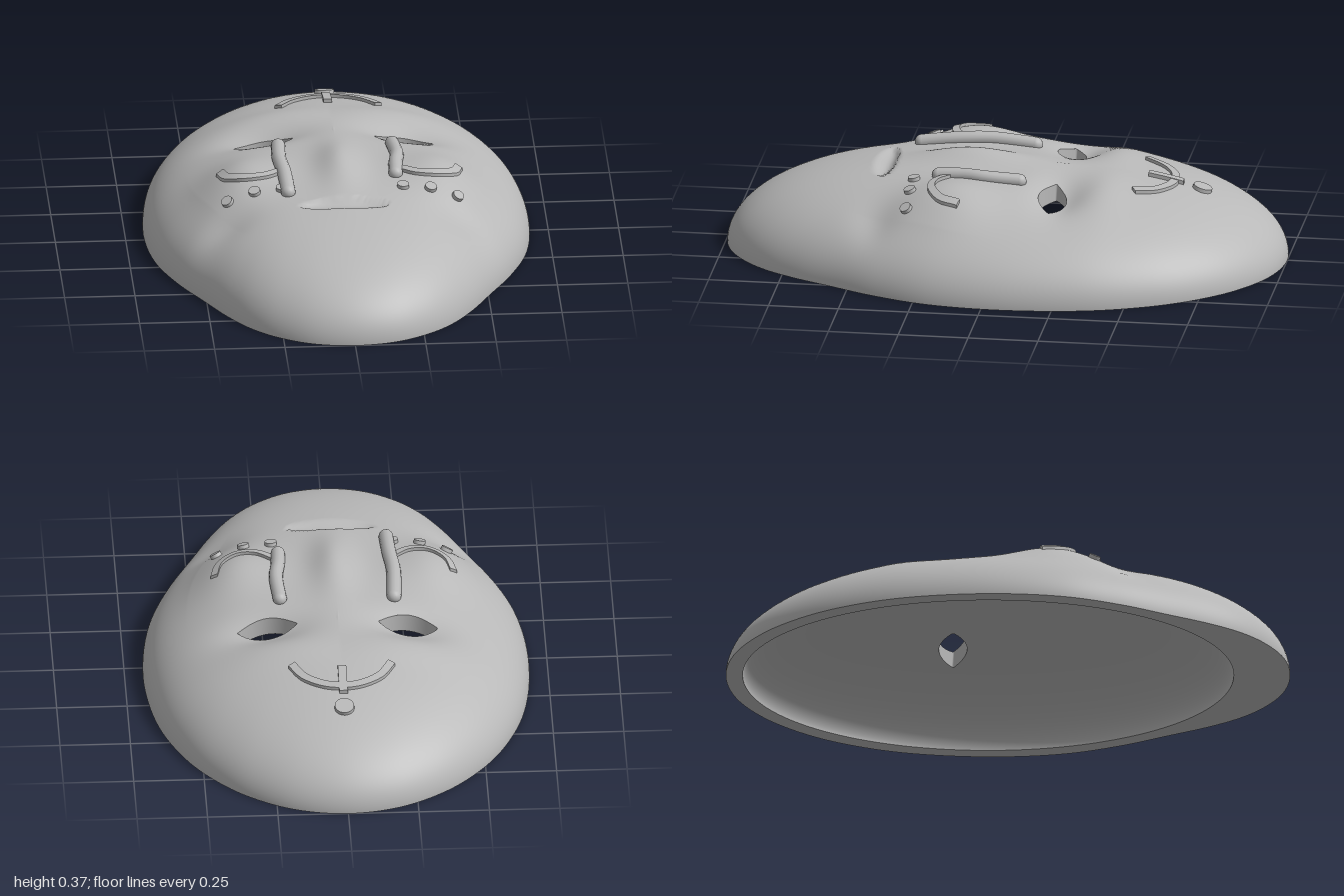
import * as THREE from 'three';

const clay = new THREE.MeshStandardMaterial({ color: 0xb8b8b8, side: THREE.DoubleSide });
clay.name = 'grey clay';

const CZ = -0.07; // centre of the face outline
const SEGS = 240;

// Half outline of the face, from forehead to chin, mirrored into a closed curve
const half = [[0.185, -0.966], [0.35, -0.87], [0.473, -0.745], [0.566, -0.6], [0.648, -0.38], [0.685, -0.07],
  [0.66, 0.2], [0.592, 0.4], [0.507, 0.57], [0.435, 0.71], [0.362, 0.82], [0.275, 0.905], [0.15, 0.975]];
const outline = new THREE.CatmullRomCurve3([
  [0, -1], ...half, [0, 1], ...half.map(([x, z]) => [-x, z]).reverse(),
].map(([x, z]) => new THREE.Vector3(x, 0, z)), true);

// Polar table of the right half: angle 0 at the forehead, PI at the chin
const table = outline.getPoints(1200).slice(0, 601)
  .map(p => [Math.atan2(p.x, CZ - p.z), Math.hypot(p.x, p.z - CZ)]);
function outerRadius(angle) {
  let lo = 0, hi = table.length - 1;
  while (hi - lo > 1) {
    const mid = (lo + hi) >> 1;
    if (table[mid][0] <= angle) lo = mid; else hi = mid;
  }
  const [a, b] = [table[lo], table[hi]];
  return THREE.MathUtils.lerp(a[1], b[1], THREE.MathUtils.clamp((angle - a[0]) / (b[0] - a[0]), 0, 1));
}

const bump = (x, z, cx, cz, sx, sz) => Math.exp(-(((x - cx) / sx) ** 2) - ((z - cz) / sz) ** 2);

// Outer face height: dome, fuller to the chin, plus nose, cheeks, eye sockets and mouth
function face(x, z) {
  const ax = Math.abs(x), angle = Math.atan2(ax, CZ - z), c = Math.cos(angle);
  const r = Math.min(1, Math.hypot(x, z - CZ) / outerRadius(angle));
  if (r > 0.99999) return 0;
  const p = 2.15 + 0.15 * Math.max(c, 0) ** 2 + 0.85 * Math.max(-c, 0) ** 2;
  let d = 0.042 * bump(x, z, 0, 0.13, 0.075, 0.2);
  d += 0.05 * bump(ax, z, 0.36, 0.16, 0.14, 0.18);
  d -= 0.022 * bump(ax, z, 0.44, 0.42, 0.11, 0.08);
  d -= 0.045 * bump(ax, z, 0.25, -0.22, 0.14, 0.085);
  d += 0.012 * bump(ax, z, 0.2, -0.38, 0.2, 0.08);
  const m = 1 - (x / 0.157) ** 2;
  if (m > 0) {
    const v = (z - 0.433) / (0.042 * Math.sqrt(m)); // lens-shaped mouth, deepest near its upper edge
    if (Math.abs(v) < 1) d -= 0.022 * Math.sqrt(m) * (1 - v * v) * (1 - 0.6 * v);
  }
  return 0.325 * Math.sqrt(1 - r ** p) + d * Math.min(1, (1 - r * r) * 2.5);
}

// Hollow at the back: half an ellipsoid
const HX = 0.63, HY = 0.24, HZ = 0.87;
const hollow = (x, z) => HY * Math.sqrt(Math.max(0, 1 - (x / HX) ** 2 - ((z - CZ) / HZ) ** 2));
const hollowRadius = angle => 1 / Math.hypot(Math.sin(angle) / HX, Math.cos(angle) / HZ);

// Point on a ring around the outline centre
function polar(radius, j, t) {
  const a = (j / SEGS) * Math.PI * 2;
  const r = t * radius(a > Math.PI ? Math.PI * 2 - a : a);
  return [r * Math.sin(a), CZ - r * Math.cos(a)];
}

// Almond eyes: factor that takes an offset from the eye centre to the lid edge
const EX = 0.25, EZ = -0.195;
function lidScale(dx, dz) {
  const a = Math.abs(dz) / 0.05, b = (dx / 0.107) ** 2;
  return 2 / (a + Math.sqrt(a * a + 4 * b) + 1e-9);
}

function makeGeometry(pos, index) {
  const g = new THREE.BufferGeometry();
  g.setAttribute('position', new THREE.Float32BufferAttribute(pos, 3));
  g.setIndex(index);
  g.computeVertexNormals();
  return g;
}

// Polar-grid shell with eye openings; vertices inside an eye snap to its lid
function shell(height, radius, rings, flip) {
  const pos = [], cut = [], index = [];
  const add = (x, z) => {
    const ex = Math.sign(x) * EX, t = lidScale(x - ex, z - EZ);
    cut.push(t > 1);
    if (t > 1) { x = ex + (x - ex) * t; z = EZ + (z - EZ) * t; }
    pos.push(x, height(x, z), z);
  };
  add(0, CZ);
  for (let i = 1; i <= rings; i++) {
    for (let j = 0; j < SEGS; j++) add(...polar(radius, j, Math.sin((i / rings) * Math.PI / 2)));
  }
  const id = (i, j) => (i === 0 ? 0 : 1 + (i - 1) * SEGS + (j % SEGS));
  const tri = (a, b, c) => {
    if (cut[a] && cut[b] && cut[c]) return;
    if (flip) index.push(a, b, c); else index.push(a, c, b);
  };
  for (let i = 0; i < rings; i++) for (let j = 0; j < SEGS; j++) {
    tri(id(i, j), id(i + 1, j), id(i + 1, j + 1));
    if (i > 0) tri(id(i, j), id(i + 1, j + 1), id(i, j + 1));
  }
  return makeGeometry(pos, index);
}

// Band joining two closed loops of points
function band(loopA, loopB) {
  const n = loopA.length, pos = [...loopA, ...loopB].flat(), index = [];
  for (let i = 0; i < n; i++) {
    const k = (i + 1) % n;
    index.push(i, k, n + i, k, n + k, n + i);
  }
  return makeGeometry(pos, index);
}

// Smooth line through [x, z] points, laid on the face
const trace = points => new THREE.CatmullRomCurve3(points.map(([x, z]) => new THREE.Vector3(x, 0, z)));

// Square-edged strip following the face
function strip(points, halfWidth, lift) {
  const curve = trace(points), pos = [], index = [], n = 32;
  for (let i = 0; i <= n; i++) {
    const p = curve.getPoint(i / n), t = curve.getTangent(i / n);
    for (const [s, y] of [[-1, -0.012], [-1, lift], [1, lift], [1, -0.012]]) {
      const x = p.x - t.z * halfWidth * s, z = p.z + t.x * halfWidth * s;
      pos.push(x, face(x, z) + y, z);
    }
  }
  for (let i = 0; i < n; i++) for (let k = 0; k < 4; k++) {
    const a = i * 4 + k, b = i * 4 + (k + 1) % 4;
    index.push(a, a + 4, b, b, a + 4, b + 4);
  }
  const e = n * 4;
  index.push(0, 1, 2, 0, 2, 3, e, e + 2, e + 1, e, e + 3, e + 2);
  const g = makeGeometry(pos, index).toNonIndexed();
  g.computeVertexNormals();
  return g;
}

export function createModel() {
  const model = new THREE.Group();
  model.name = 'mask';
  const add = (name, geometry) => {
    const mesh = new THREE.Mesh(geometry, clay);
    mesh.name = name;
    model.add(mesh);
    return mesh;
  };

  add('face', shell(face, outerRadius, 140, false));
  add('hollow', shell(hollow, hollowRadius, 80, true));

  // Flat rim under the mask, wide at the chin
  const loop = radius => Array.from({ length: SEGS }, (_, j) => {
    const [x, z] = polar(radius, j, 1);
    return [x, 0, z];
  });
  add('rim', band(loop(outerRadius), loop(hollowRadius)));

  // Walls of the eye openings
  for (const side of [-1, 1]) {
    const lid = Array.from({ length: 64 }, (_, i) => {
      const a = (i / 64) * Math.PI * 2, dx = 0.107 * Math.cos(a), dz = 0.05 * Math.sin(a);
      const t = lidScale(dx, dz);
      return [side * EX + dx * t, EZ + dz * t];
    });
    add(side > 0 ? 'leftEyeWall' : 'rightEyeWall',
      band(lid.map(([x, z]) => [x, face(x, z), z]), lid.map(([x, z]) => [x, hollow(x, z), z])));
  }

  // Tears below the eyes, round with domed ends, the right one longer
  const tear = (name, points, radius) => {
    const path = trace(points).getPoints(24).map(p => p.setY(face(p.x, p.z) + 0.006));
    add(name, new THREE.TubeGeometry(new THREE.CatmullRomCurve3(path), 48, radius, 14));
    for (const p of [path[0], path[24]]) {
      add(name + 'End', new THREE.SphereGeometry(radius, 16, 10)).position.copy(p);
    }
  };
  tear('rightTear', [[-0.205, -0.07], [-0.21, 0.08], [-0.2, 0.2], [-0.195, 0.335]], 0.026);
  tear('leftTear', [[0.2, -0.07], [0.208, 0.06], [0.198, 0.14], [0.194, 0.22]], 0.025);

  // Low round stud lying on the face
  const stud = (name, x, z, radius) => {
    const mesh = add(name, new THREE.CylinderGeometry(radius * 0.95, radius, 0.026, 28));
    mesh.position.set(x, face(x, z), z);
    const e = 0.01;
    const normal = new THREE.Vector3(face(x - e, z) - face(x + e, z), 2 * e, face(x, z - e) - face(x, z + e));
    mesh.quaternion.setFromUnitVectors(new THREE.Vector3(0, 1, 0), normal.normalize());
  };

  // Cheek curls and studs
  for (const side of [-1, 1]) {
    const name = side > 0 ? 'left' : 'right';
    add(name + 'CheekCurl', strip([[0.425, 0.118], [0.403, 0.185], [0.34, 0.226], [0.27, 0.222], [0.215, 0.185]]
      .map(([x, z]) => [side * x, z]), 0.013, 0.012));
    for (const x of [0.215, 0.312, 0.407]) stud(name + 'CheekStud', side * x, 0.305, 0.022);
  }

  // Forehead mark: arch, bar and disc
  const arch = [-70, -45, -20, 0, 20, 45, 70].map(deg => {
    const a = THREE.MathUtils.degToRad(deg);
    return [0.189 * Math.sin(a), -0.411 - 0.189 * Math.cos(a)];
  });
  add('foreheadArch', strip(arch, 0.014, 0.012));
  add('foreheadBar', strip([[0, -0.63], [0, -0.57], [0, -0.505]], 0.015, 0.014));
  stud('foreheadDisc', 0, -0.695, 0.036);

  return model;
}
